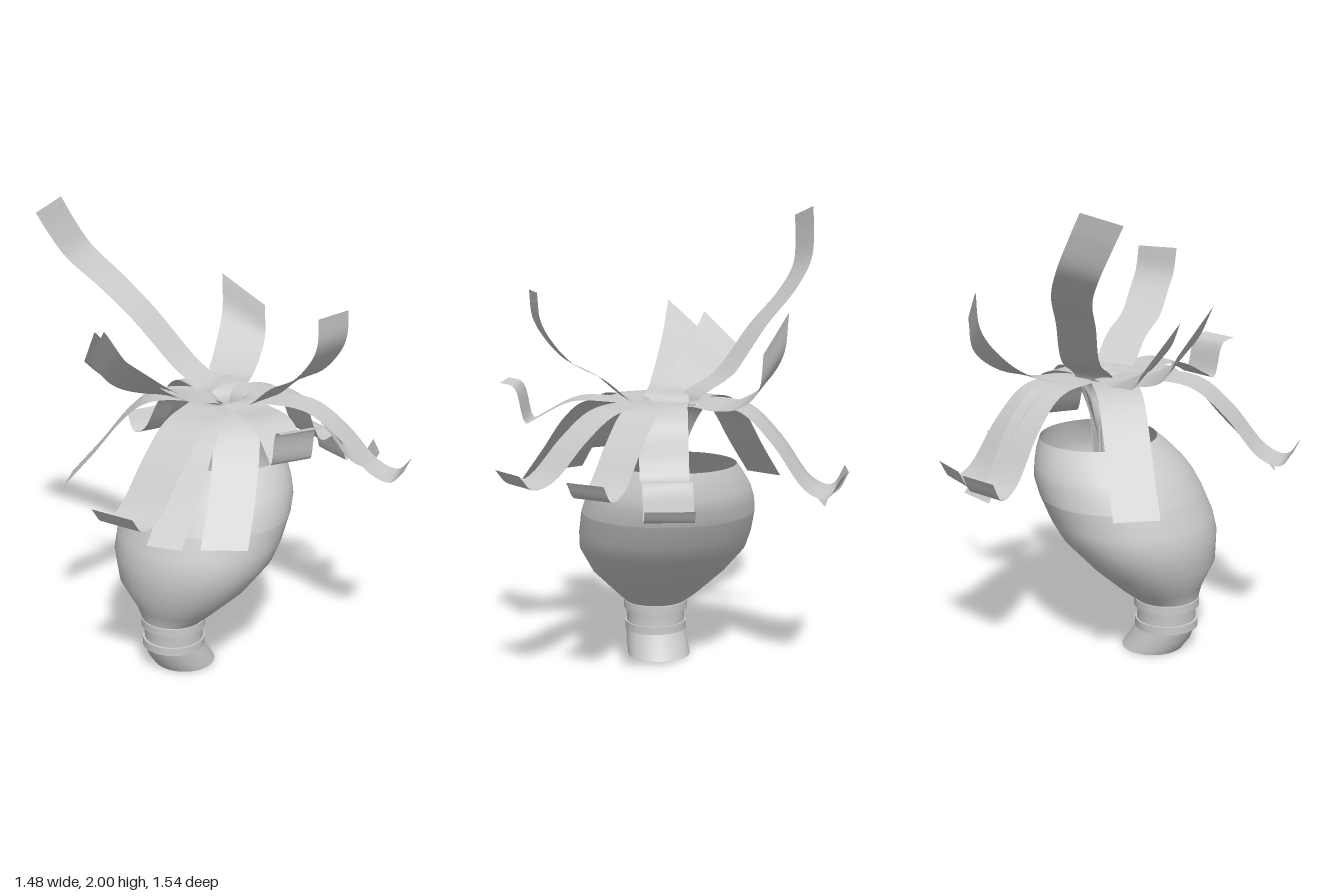
import * as THREE from 'three';

const material = new THREE.MeshStandardMaterial({ color: 0xcccccc, side: THREE.DoubleSide });

// Surface through rows of points; closed rows wrap round.
function surface(name, rows, closed) {
  const n = rows[0].length, idx = [];
  for (let r = 0; r < rows.length - 1; r++) {
    for (let i = 0; i < (closed ? n : n - 1); i++) {
      const a = r * n + i, b = r * n + (i + 1) % n;
      idx.push(a, a + n, b, b, a + n, b + n);
    }
  }
  const geo = new THREE.BufferGeometry().setFromPoints(rows.flat());
  geo.setIndex(idx);
  geo.computeVertexNormals();
  const mesh = new THREE.Mesh(geo, material);
  mesh.name = name;
  return mesh;
}

// Horizontal ellipses: [y, centre x, radius x, radius z]
const SIDES = 40, BODY_Z = -0.03;
function loft(name, sections) {
  return surface(name, sections.map(([y, cx, rx, rz]) =>
    Array.from({ length: SIDES }, (_, i) => {
      const a = (i / SIDES) * Math.PI * 2;
      return new THREE.Vector3(cx + Math.cos(a) * rx, y, BODY_Z + Math.sin(a) * rz);
    })), true);
}

// Strip with a narrow stem out of the bulb, then following the outer points.
// side points across the strip; roll tilts it more and more toward the tip.
function ribbon(name, width, outer, side, roll) {
  const tip = outer[outer.length - 1];
  const dir = new THREE.Vector3(tip.x - 0.1, 0, tip.z).normalize();
  const stem = (y, d) => new THREE.Vector3(0.1 + dir.x * d, y, dir.z * d - 0.02);
  const curve = new THREE.CatmullRomCurve3([stem(0.75, 0.03), stem(0.98, 0.05), ...outer], false, 'centripetal');
  const rows = [], steps = 40, stemEnd = 2 / (outer.length + 1);
  for (let i = 0; i <= steps; i++) {
    const u = i / steps, p = curve.getPoint(u);
    const half = width / 2 * (0.4 + 0.6 * THREE.MathUtils.smoothstep(u, stemEnd * 0.5, stemEnd));
    const across = side.clone().setY(roll * THREE.MathUtils.smoothstep(u, stemEnd, 1)).multiplyScalar(half);
    rows.push([p.clone().add(across), p.clone().sub(across)]);
  }
  return surface(name, rows, false);
}

// Side profiles of hanging ribbons: [share of the reach, share of the drop]
const PROFILES = {
  hang: [[0.3, 0], [0.48, 0.06], [0.62, 0.25], [0.8, 0.62], [1, 1]],
  curl: [[0.3, 0], [0.47, 0.08], [0.64, 0.42], [0.82, 0.92], [0.93, 1], [1, 0.78]],
  step: [[0.3, 0], [0.52, 0.12], [0.63, 0.5], [0.7, 0.66], [0.86, 0.64], [0.94, 1], [1, 0.87]],
  scroll: [[0.3, 0], [0.55, 0], [0.78, 0.8], [0.84, 1], [0.91, -0.5], [1, -0.7]],
};
const CROWN = 1.2;

// Ribbon arching over the rim to a tip; bend shifts its middle sideways.
function hangingRibbon(profile, width, tipX, tipZ, lowY, bend) {
  const start = new THREE.Vector3(0.1, 0, 0);
  const run = new THREE.Vector3(tipX, 0, tipZ).sub(start);
  const side = new THREE.Vector3(-run.z, 0, run.x).normalize();
  const outer = [[0.12, 0.05], ...PROFILES[profile]].map(([t, f]) =>
    start.clone().addScaledVector(run, t).addScaledVector(side, bend * Math.sin(Math.PI * t))
      .setY(CROWN + (lowY - CROWN) * f));
  return ribbon(profile + 'Ribbon', width, outer, side, 0);
}

export function createModel() {
  const model = new THREE.Group();

  // Bulb, leaning to +x
  const bulb = new THREE.Group();
  bulb.name = 'bulb';
  bulb.add(
    loft('foot', [[0, -0.135, 0.135, 0.14], [0.05, -0.17, 0.136, 0.138], [0.105, -0.195, 0.132, 0.134]]),
    loft('neck', [[0.1, -0.196, 0.13, 0.132], [0.17, -0.2, 0.128, 0.13], [0.24, -0.2, 0.135, 0.138]]),
    loft('lowerShell', [[0.24, -0.2, 0.14, 0.14], [0.29, -0.17, 0.18, 0.19], [0.4, -0.135, 0.265, 0.3],
      [0.52, -0.07, 0.33, 0.37], [0.6, -0.03, 0.35, 0.38], [0.7, 0.02, 0.352, 0.38]]),
    loft('upperShell', [[0.7, 0.02, 0.352, 0.38], [0.77, 0.055, 0.345, 0.365], [0.82, 0.075, 0.325, 0.345],
      [0.88, 0.105, 0.292, 0.305], [0.93, 0.13, 0.255, 0.265]]),
  );
  for (const [y, r] of [[0.123, 0.138], [0.219, 0.143]]) {
    const band = new THREE.Mesh(new THREE.CylinderGeometry(r, r, 0.036, SIDES), material);
    band.position.set(-0.2, y, BODY_Z);
    band.name = 'neckBand';
    bulb.add(band);
  }
  const base = new THREE.Mesh(new THREE.CircleGeometry(0.137, SIDES).rotateX(Math.PI / 2), material);
  base.position.set(-0.135, 0, BODY_Z);
  base.name = 'base';
  bulb.add(base);
  model.add(bulb);

  // Rising ribbons: width, across direction [x, z], roll, centre points
  const rising = [
    [0.17, [0.98, -0.15], 0.25, [[0.11, 1.2, -0.1], [0.1, 1.3, -0.25], [0.03, 1.5, -0.43],
      [-0.03, 1.64, -0.58], [-0.11, 1.76, -0.68], [-0.18, 1.88, -0.715], [-0.235, 1.98, -0.73]]],
    [0.2, [0.65, 0.75], -0.75, [[0.2, 1.18, -0.1], [0.34, 1.2, -0.19], [0.46, 1.25, -0.26],
      [0.56, 1.36, -0.31], [0.575, 1.52, -0.325]]],
    [0.19, [1, 0], 0, [[0.15, 1.18, 0.05], [0.15, 1.2, 0.16], [0.15, 1.31, 0.3], [0.14, 1.38, 0.43],
      [0.14, 1.48, 0.52], [0.13, 1.56, 0.56], [0.12, 1.67, 0.57]]],
    [0.2, [-0.39, 0.92], 0.9, [[0.05, 1.19, -0.02], [-0.1, 1.22, -0.08], [-0.22, 1.27, -0.14],
      [-0.33, 1.35, -0.2], [-0.415, 1.485, -0.25]]],
    [0.2, [-0.47, 0.88], 0.95, [[0.08, 1.19, -0.03], [-0.06, 1.22, -0.13], [-0.17, 1.28, -0.23],
      [-0.26, 1.34, -0.32], [-0.325, 1.43, -0.395]]],
  ];
  for (const [width, [sx, sz], roll, path] of rising) {
    const points = path.map((p) => new THREE.Vector3(...p));
    model.add(ribbon('risingRibbon', width, points, new THREE.Vector3(sx, 0, sz), roll));
  }

  // Hanging ribbons: profile, width, tip x, tip z, lowest y, bend
  const hanging = [
    ['curl', 0.2, -0.72, 0.15, 0.87, -0.04],
    ['hang', 0.15, -0.57, 0.29, 0.79, -0.03],
    ['hang', 0.19, -0.42, 0.48, 0.79, -0.05],
    ['scroll', 0.18, -0.16, 0.65, 1.1, -0.03],
    ['curl', 0.17, 0.44, 0.74, 0.92, -0.04],
    ['curl', 0.17, 0.59, 0.46, 0.88, -0.04],
    ['step', 0.2, 0.72, 0.15, 0.8, 0.02],
    ['curl', 0.18, 0.32, -0.74, 0.82, 0.03],
    ['curl', 0.18, 0.51, -0.65, 0.83, 0.02],
    ['hang', 0.18, 0.4, -0.62, 0.78, 0.04],
    ['hang', 0.19, -0.31, -0.58, 0.77, 0],
  ];
  for (const h of hanging) model.add(hangingRibbon(...h));
  return model;
}
